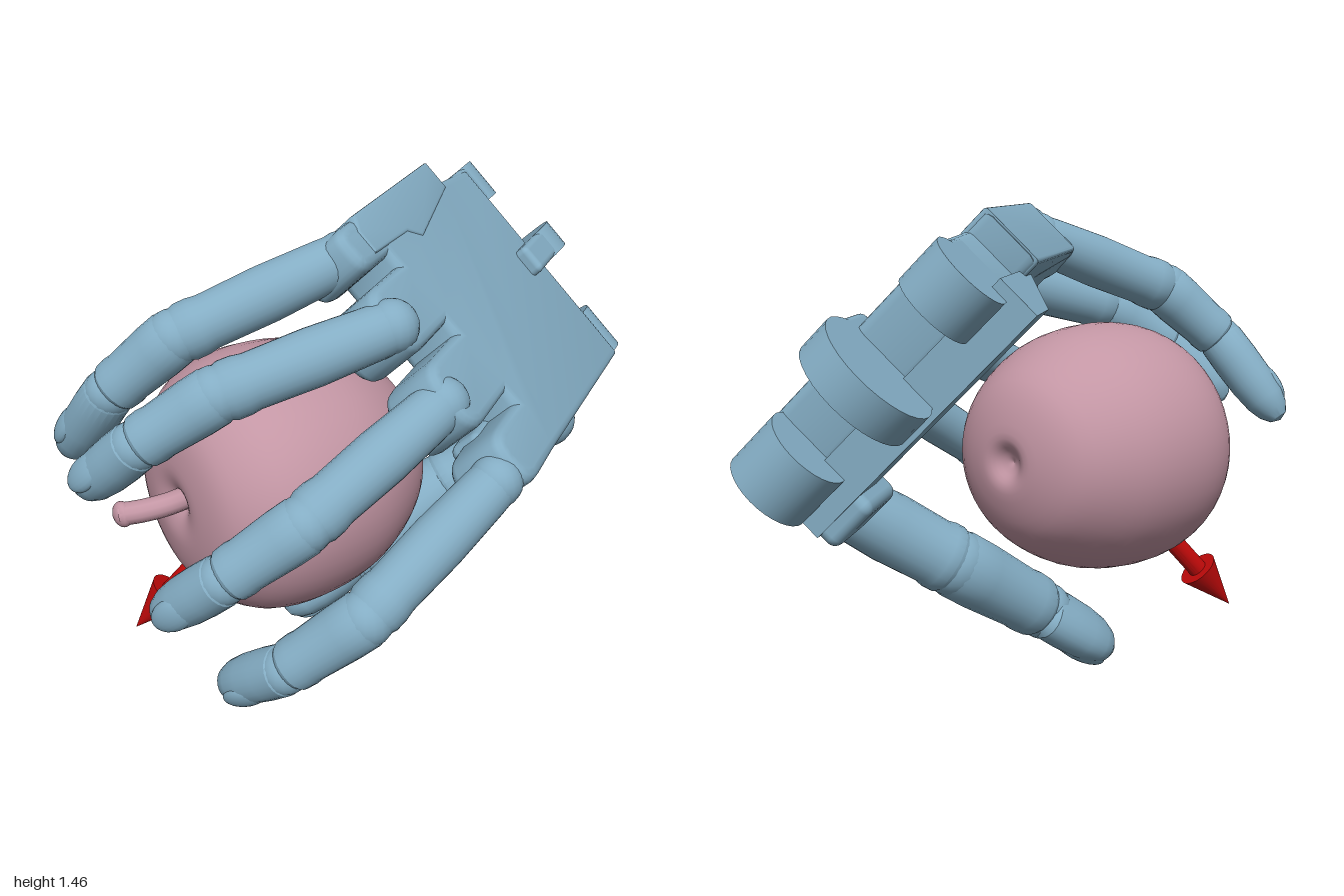
import * as THREE from 'three';
import { toCreasedNormals } from 'three/addons/utils/BufferGeometryUtils.js';
import { RoundedBoxGeometry } from 'three/addons/geometries/RoundedBoxGeometry.js';

const V = (x, y, z) => new THREE.Vector3(x, y, z);
const paint = (color) => new THREE.MeshStandardMaterial({ color });
const UP = V(0, 1, 0);

export function createModel() {
  const root = new THREE.Group();
  const steel = paint(0x84adc4), flesh = paint(0xc396a4), red = paint(0xc00a0a);
  const appleCentre = V(-0.09, 0.7, 0.315);

  const add = (parent, name, geo, mat, pos = V(0, 0, 0)) => {
    const m = new THREE.Mesh(geo, mat);
    m.name = name;
    m.position.copy(pos);
    parent.add(m);
    return m;
  };
  const lathe = (pts, seg = 24, crease = 0.5) =>
    toCreasedNormals(new THREE.LatheGeometry(pts.map(([r, h]) => new THREE.Vector2(r, h)), seg), crease);
  // lathed link running from a to b; profile is [radius, fraction of length]
  const link = (parent, name, a, b, profile, r, mat = steel) => {
    const d = b.clone().sub(a), len = d.length();
    const m = add(parent, name, lathe(profile.map(([k, t]) => [k * r, t * len])), mat, a);
    m.quaternion.setFromUnitVectors(UP, d.normalize());
    return m;
  };

  // ---- fruit, its axis along z
  const fruit = new THREE.Group();
  fruit.name = 'fruit';
  fruit.position.copy(appleCentre);
  root.add(fruit);
  const profile = new THREE.SplineCurve([
    [0, -0.345], [0.03, -0.358], [0.1, -0.385], [0.26, -0.32], [0.378, -0.14], [0.415, 0.065],
    [0.385, 0.235], [0.28, 0.35], [0.14, 0.388], [0.055, 0.375], [0, 0.33],
  ].map(([r, h]) => new THREE.Vector2(r, h))).getPoints(50);
  profile.forEach((p) => { p.x = Math.max(p.x, 0); });
  const body = add(fruit, 'fruitBody', new THREE.LatheGeometry(profile, 48), flesh);
  body.rotation.x = Math.PI / 2;
  body.scale.z = 0.965;
  const stemPath = new THREE.CatmullRomCurve3([V(-0.01, 0.01, 0.3), V(0, 0.01, 0.41), V(-0.025, 0, 0.48), V(-0.06, -0.01, 0.535)]);
  add(fruit, 'stem', new THREE.TubeGeometry(stemPath, 16, 0.034, 12), flesh);
  const cap = add(fruit, 'stemEnd', new THREE.SphereGeometry(0.039, 16, 12), flesh, V(-0.058, -0.01, 0.53));
  cap.scale.z = 0.7;

  // ---- arrow leaving the fruit
  const arrowTip = V(-0.352, 0.13, 0.757);
  const arrowDir = arrowTip.clone().sub(appleCentre).normalize();
  const headBase = arrowTip.clone().addScaledVector(arrowDir, -0.18);
  link(root, 'arrowShaft', appleCentre, headBase, [[0, 0], [1, 0], [1, 1], [0, 1]], 0.032, red);
  link(root, 'arrowHead', headBase, arrowTip, [[0, 0], [1, 0], [0, 1]], 0.068, red);

  // ---- fingers: knuckle, middle joint, end joint, tip
  const PROX = [[0, -0.1], [0.7, -0.1], [0.9, -0.03], [0.96, 0.1], [1.04, 0.45], [1, 0.8], [1.06, 0.86], [1.06, 0.93], [0.9, 1], [0, 1]];
  const MID = [[0, -0.12], [0.85, -0.12], [1.05, 0.02], [1.05, 0.25], [0.97, 0.7], [1.0, 0.78], [0.97, 0.9], [0.8, 0.97], [0, 0.97]];
  const END = [[0, -0.06], [0.82, -0.06], [0.98, 0.02], [1, 0.3], [0.97, 0.6], [0.86, 0.85], [0.68, 1.0], [0.4, 1.1], [0, 1.14]];
  const makeFinger = (name, pts, r, tipWidth = 1, tipDepth = 1) => {
    const g = new THREE.Group();
    g.name = name;
    root.add(g);
    const [a, b, c, d] = pts.map((p) => V(...p));
    link(g, 'proximalLink', a, b, PROX, r);
    link(g, 'middleLink', b, c, MID, r);
    link(g, 'fingertip', c, d, END, r * 0.95).scale.set(tipWidth, 1, tipDepth);
    [[a, 0.97], [b, 1.02], [c, 0.9]].forEach(([p, k]) =>
      add(g, 'joint', new THREE.SphereGeometry(r * k, 20, 14), steel, p));
    // nail on the side facing away from the fruit
    const along = d.clone().sub(c).normalize();
    const nailPos = c.clone().lerp(d, 0.7);
    const out = nailPos.clone().sub(appleCentre);
    out.addScaledVector(along, -out.dot(along)).normalize();
    const nail = add(g, 'nail', new THREE.SphereGeometry(r, 20, 14), steel, nailPos.addScaledVector(out, r * 0.62 * tipDepth));
    nail.scale.set(0.62, 1.0, 0.36);
    nail.quaternion.setFromRotationMatrix(new THREE.Matrix4().makeBasis(along.clone().cross(out), along, out));
  };
  makeFinger('littleFinger', [[0.02, 1.375, 0.18], [-0.13, 1.2, 0.645], [-0.25, 1.03, 0.8], [-0.43, 0.8, 0.86]], 0.08);
  makeFinger('ringFinger', [[0.26, 1.25, 0.18], [0.12, 1.125, 0.66], [0.0, 0.98, 0.85], [-0.15, 0.82, 0.94]], 0.08);
  makeFinger('middleFinger', [[0.4, 1.05, 0.11], [0.43, 0.85, 0.59], [0.315, 0.69, 0.78], [0.15, 0.53, 0.88]], 0.08);
  makeFinger('foreFinger', [[0.545, 0.845, 0.03], [0.55, 0.575, 0.48], [0.4, 0.385, 0.65], [0.21, 0.25, 0.72]], 0.08);
  makeFinger('thumb', [[0.075, 0.655, -0.6], [-0.09, 0.43, -0.28], [-0.15, 0.225, 0.04], [-0.22, 0.085, 0.24]], 0.1, 1.18, 0.85);

  // ---- palm frame: x towards the fingers, y towards the thumb side, z out of the back of the hand
  const palm = new THREE.Group();
  palm.name = 'palm';
  const u = V(0.54, 0.02, 0.84).normalize();
  const n = u.clone().cross(V(0.61, -0.71, -0.345)).normalize();
  palm.quaternion.setFromRotationMatrix(new THREE.Matrix4().makeBasis(u, n.clone().cross(u), n));
  palm.position.set(0.27, 1.105, 0.12);
  root.add(palm);

  const slab = (name, shape, z0, z1, bevel) => add(palm, name, toCreasedNormals(new THREE.ExtrudeGeometry(shape, {
    depth: z1 - z0 - 2 * bevel, bevelEnabled: true, bevelSize: bevel, bevelOffset: -bevel,
    bevelThickness: bevel, bevelSegments: 3, curveSegments: 8,
  }), 0.6), steel, V(0, 0, z0 + bevel));

  // plate with a rounded lobe over every knuckle and slots between the lobes
  const plate = new THREE.Shape();
  plate.moveTo(-0.98, -0.34);
  plate.lineTo(-0.76, -0.36);
  plate.lineTo(-0.76, -0.43);
  const lobes = [[-0.43, -0.285, 0.0], [-0.245, -0.03, 0.1], [0.01, 0.235, 0.12], [0.275, 0.455, 0.08]];
  lobes.forEach(([v0, v1, tip], i) => {
    const m = (v0 + v1) / 2;
    plate.lineTo(i ? -0.17 : -0.12, v0);
    plate.lineTo(tip - 0.1, v0);
    plate.bezierCurveTo(tip - 0.02, v0, tip, m - 0.06, tip, m);
    plate.bezierCurveTo(tip, m + 0.06, tip - 0.02, v1, tip - 0.1, v1);
    plate.lineTo(-0.17, v1);
  });
  plate.lineTo(-0.98, 0.475);
  plate.closePath();
  slab('palmPlate', plate, -0.1, 0.1, 0.03);

  // raised rim over the little finger side
  const rim = new THREE.Shape();
  [[-0.75, -0.435], [-0.14, -0.435], [-0.1, -0.39], [-0.1, -0.31], [-0.34, -0.3], [-0.4, -0.26], [-0.75, -0.33]]
    .forEach(([x, y], i) => (i ? rim.lineTo(x, y) : rim.moveTo(x, y)));
  slab('littleFingerMount', rim, -0.1, 0.105, 0.012);

  // wrist block below the plate, with lugs and a middle disc on the wrist axis
  const section = new THREE.Shape();
  [[-1.0, -0.21], [-0.84, -0.21], [-0.64, -0.08], [-1.0, -0.08]]
    .forEach(([x, z], i) => (i ? section.lineTo(x, z) : section.moveTo(x, z)));
  const block = new THREE.ExtrudeGeometry(section, { depth: 0.84, bevelEnabled: false });
  block.rotateX(Math.PI / 2);
  add(palm, 'wristBlock', block, steel, V(0, 0.46, 0));
  const lug = (name, x, y, z, r, w) => {
    add(palm, name, toCreasedNormals(new THREE.CylinderGeometry(r, r, w, 32), 0.6), steel, V(x, y, z));
    add(palm, name + 'Arm', new RoundedBoxGeometry(0.25, w, r * 1.9, 3, 0.02), steel, V(x + 0.11, y, z));
  };
  lug('thumbSideLug', -1.01, 0.375, -0.03, 0.125, 0.17);
  lug('littleSideLug', -1.03, -0.28, -0.02, 0.115, 0.14);
  lug('wristDisc', -1.07, 0.03, -0.025, 0.175, 0.1);

  // mount and socket that carry the thumb, and padding below the knuckles
  add(palm, 'thumbMount', new RoundedBoxGeometry(0.24, 0.17, 0.2, 3, 0.03), steel, V(-0.87, 0.38, -0.165));
  add(palm, 'thumbSocket', new THREE.SphereGeometry(0.12, 24, 16), steel, V(-0.735, 0.39, -0.1));
  add(palm, 'forefingerPad', new RoundedBoxGeometry(0.32, 0.18, 0.12, 3, 0.03), steel, V(-0.22, 0.35, -0.07));

  return root;
}
